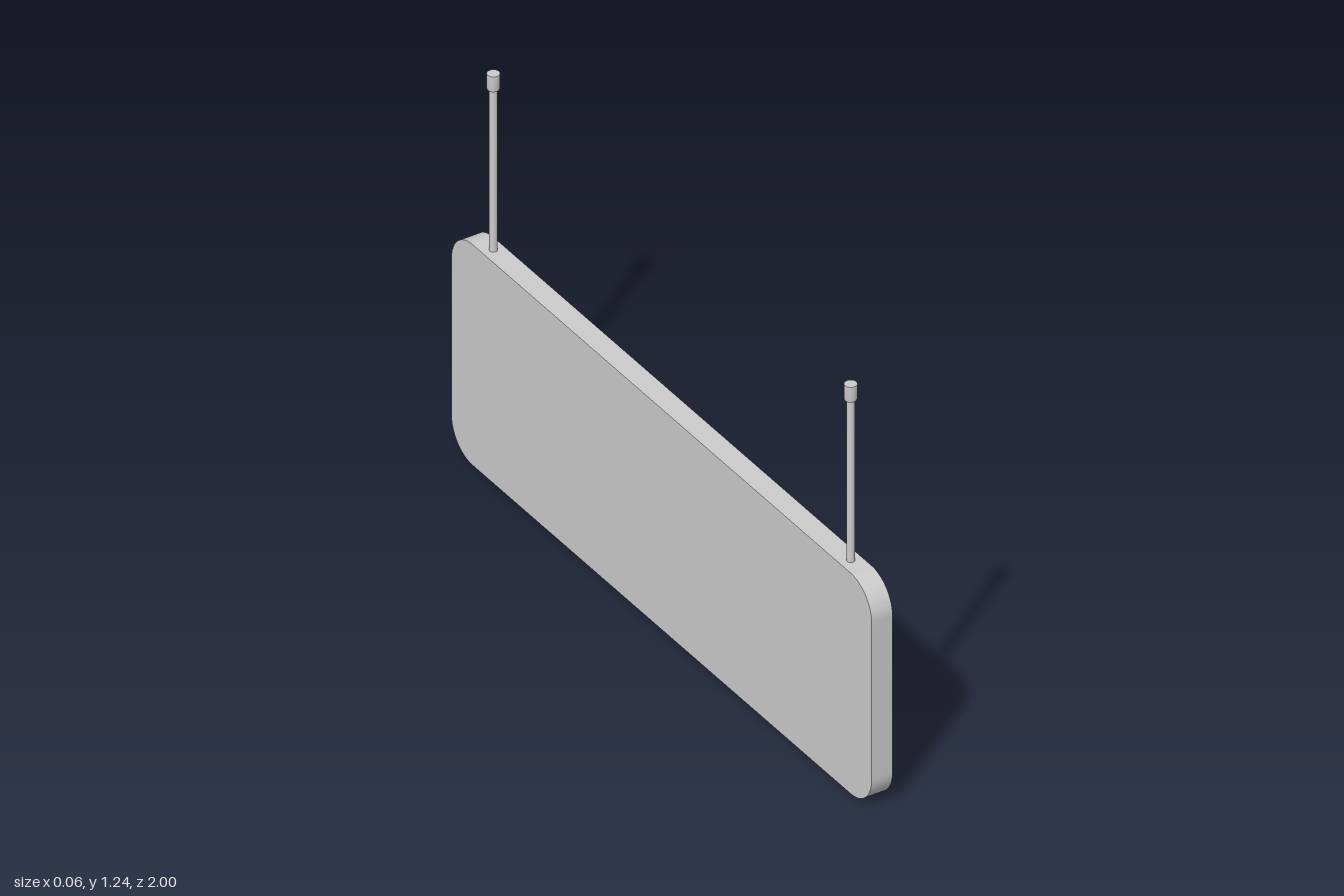
import * as THREE from 'three';
import { toCreasedNormals } from 'three/addons/utils/BufferGeometryUtils.js';

const material = new THREE.MeshStandardMaterial({ color: 0xcccccc });

function addPart(parent, name, geometry) {
  const mesh = new THREE.Mesh(geometry, material);
  mesh.name = name;
  parent.add(mesh);
  return mesh;
}

// Rounded-corner board, standing on y = 0 and running along z
function panelGeometry(length, height, thickness, r) {
  const h = length / 2;
  const s = new THREE.Shape();
  s.moveTo(-h + r, 0);
  s.lineTo(h - r, 0);
  s.absarc(h - r, r, r, -Math.PI / 2, 0);
  s.lineTo(h, height - r);
  s.absarc(h - r, height - r, r, 0, Math.PI / 2);
  s.lineTo(-h + r, height);
  s.absarc(-h + r, height - r, r, Math.PI / 2, Math.PI);
  s.lineTo(-h, r);
  s.absarc(-h + r, r, r, Math.PI, Math.PI * 1.5);
  const geo = new THREE.ExtrudeGeometry(s, { depth: thickness, bevelEnabled: false, curveSegments: 16 });
  geo.translate(0, 0, -thickness / 2);
  geo.rotateY(Math.PI / 2);
  return toCreasedNormals(geo, 0.6);
}

export function createModel() {
  const model = new THREE.Group();
  model.name = 'hangingSign';

  const panelTop = 0.687, capBottom = 1.188, top = 1.237;
  addPart(model, 'signPanel', panelGeometry(2, panelTop, 0.064, 0.1));

  // Hanging rods with ceiling caps
  const capProfile = [[0, capBottom], [0.0155, capBottom], [0.0175, capBottom + 0.004], [0.0175, top], [0, top]]
    .map(([x, y]) => new THREE.Vector2(x, y));
  for (const [side, z] of [['front', 0.85], ['back', -0.85]]) {
    const hanger = new THREE.Group();
    hanger.name = side + 'Hanger';
    hanger.position.z = z;
    model.add(hanger);

    const rodLength = capBottom - panelTop + 0.01;
    const rod = addPart(hanger, 'rod', new THREE.CylinderGeometry(0.011, 0.011, rodLength, 24));
    rod.position.y = (capBottom + panelTop) / 2;
    addPart(hanger, 'ceilingCap', toCreasedNormals(new THREE.LatheGeometry(capProfile, 24), 0.5));
  }
  return model;
}
